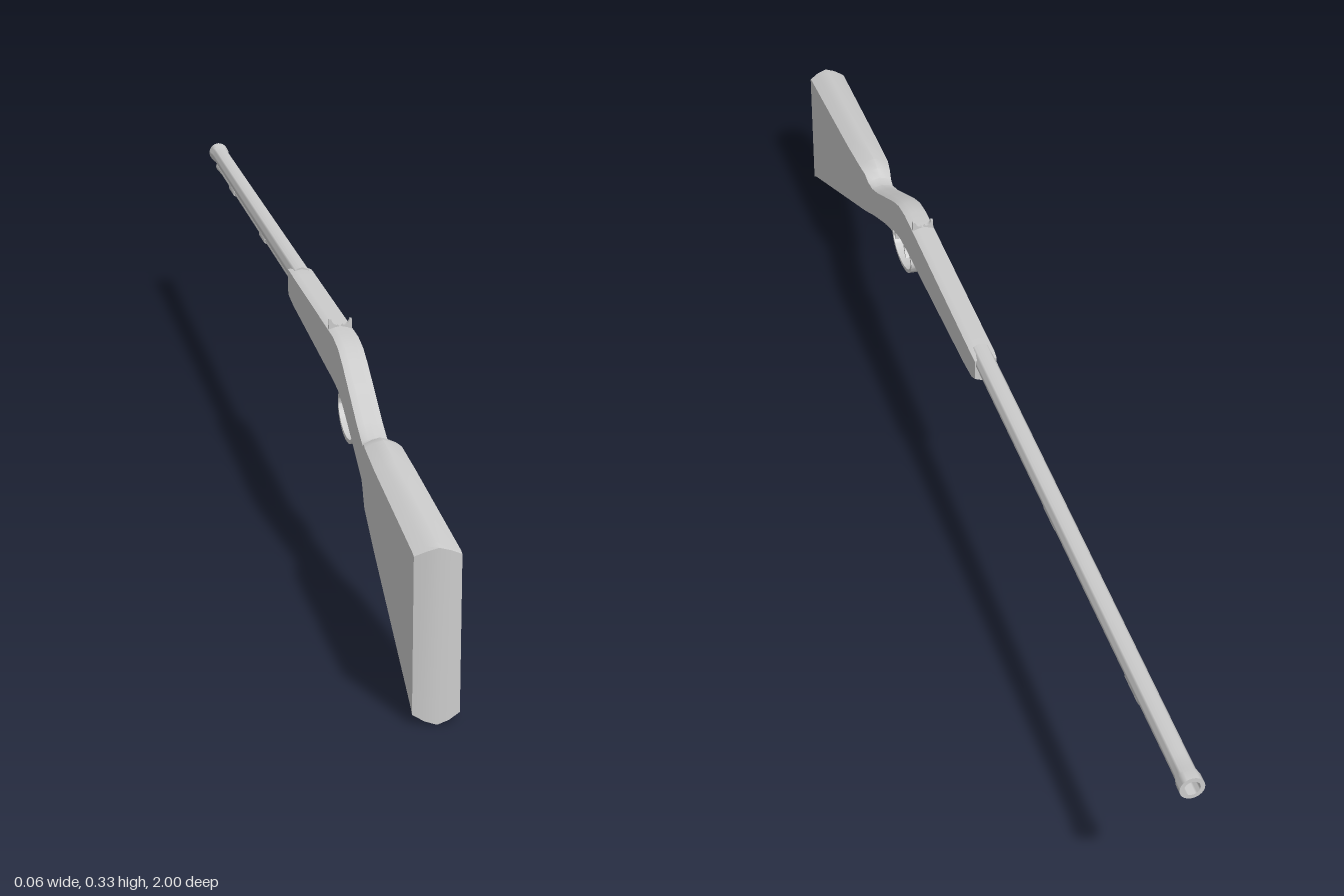
import * as THREE from 'three';
import { toCreasedNormals } from 'three/addons/utils/BufferGeometryUtils.js';

const grey = new THREE.MeshStandardMaterial({ color: 0xcccccc });
const greyDouble = new THREE.MeshStandardMaterial({ color: 0xcccccc, side: THREE.DoubleSide });

function addMesh(parent, name, geometry, material = grey) {
  const mesh = new THREE.Mesh(geometry, material);
  mesh.name = name;
  parent.add(mesh);
  return mesh;
}

// Stock stations: z, bottom y, top y, half width, crown of top and bottom
const STATIONS = [
  [1.0, 0.0, 0.23, 0.03, 0.012],
  [0.985, 0.006, 0.232, 0.03, 0.012],
  [0.72, 0.117, 0.249, 0.027, 0.011],
  [0.64, 0.15, 0.254, 0.025, 0.01],
  [0.615, 0.16, 0.25, 0.022, 0.008],
  [0.60, 0.167, 0.24, 0.02, 0.006],
  [0.58, 0.176, 0.238, 0.018, 0.005],
  [0.545, 0.191, 0.251, 0.018, 0.005],
  [0.48, 0.218, 0.281, 0.018, 0.005],
  [0.43, 0.237, 0.304, 0.018, 0.005],
  [0.395, 0.247, 0.317, 0.018, 0.005],
  [0.355, 0.251, 0.323, 0.018, 0.005],
  [0.30, 0.253, 0.323, 0.018, 0.005],
  [0.0, 0.267, 0.322, 0.018, 0.005],
  [-0.045, 0.272, 0.322, 0.018, 0.005],
  [-0.06, 0.278, 0.32, 0.017, 0.005],
];

// Slab-sided section with crowned top and bottom, lofted along z
function stockGeometry() {
  const columns = [-1, -0.5, 0, 0.5, 1];
  const n = columns.length * 2;
  const positions = [];
  const index = [];
  STATIONS.forEach(([z, bottom, top, w, crown], s) => {
    const point = (c, y) => positions.push(c * w, y, z - (s === 0 ? 0.007 * c * c : 0));
    const drop = (c) => crown * Math.pow(Math.abs(c), 1.4);
    columns.forEach((c) => point(c, bottom + drop(c)));
    [...columns].reverse().forEach((c) => point(c, top - drop(c)));
  });
  const quad = (a, b, c, d) => index.push(a, b, c, a, c, d);
  for (let s = 0; s < STATIONS.length - 1; s++) {
    for (let i = 0; i < n; i++) {
      const j = (i + 1) % n;
      quad(s * n + i, (s + 1) * n + i, (s + 1) * n + j, s * n + j);
    }
  }
  const last = (STATIONS.length - 1) * n;
  for (let i = 0; i < 4; i++) {
    quad(i, i + 1, n - 2 - i, n - 1 - i);
    quad(last + i, last + n - 1 - i, last + n - 2 - i, last + i + 1);
  }
  const g = new THREE.BufferGeometry();
  g.setAttribute('position', new THREE.Float32BufferAttribute(positions, 3));
  g.setIndex(index);
  return toCreasedNormals(g, 0.6);
}

// Turned part whose profile [radius, distance] runs toward -z
function turned(profile, y, segments) {
  const g = new THREE.LatheGeometry(profile.map(([r, d]) => new THREE.Vector2(r, d)), segments);
  g.rotateX(-Math.PI / 2);
  g.translate(0, y, 0);
  return toCreasedNormals(g, 0.7);
}

// Shape drawn in (z, y), extruded across x and centred
function acrossX(shape, width, curveSegments = 24) {
  const g = new THREE.ExtrudeGeometry(shape, { depth: width, bevelEnabled: false, curveSegments });
  g.translate(0, 0, -width / 2);
  g.rotateY(-Math.PI / 2);
  return toCreasedNormals(g, 0.6);
}

export function createModel() {
  const model = new THREE.Group();
  model.name = 'longGun';

  addMesh(model, 'stock', stockGeometry());

  // Barrel with a flared muzzle and open bore
  addMesh(model, 'barrel', turned([
    [0, 0.03], [0.0155, 0.03], [0.0145, 0.95], [0.0148, 0.975], [0.017, 0.985],
    [0.017, 1.0], [0.011, 1.0], [0.0105, 0.93], [0, 0.93],
  ], 0.309, 28));

  // Ramrod under the barrel, with two holding pipes
  addMesh(model, 'ramrod', turned([
    [0, 0.04], [0.005, 0.04], [0.005, 0.93], [0.007, 0.975], [0.007, 0.985], [0, 0.985],
  ], 0.285, 14));
  [-0.41, -0.78].forEach((z) => {
    const pipe = addMesh(model, 'ramrodPipe', turned([
      [0, -0.03], [0.0065, -0.03], [0.0075, -0.025], [0.0075, 0.025], [0.0065, 0.03], [0, 0.03],
    ], 0.285, 14));
    pipe.position.z = z;
    const lug = addMesh(model, 'pipeLug', new THREE.BoxGeometry(0.006, 0.012, 0.055));
    lug.position.set(0, 0.293, z);
  });

  // Notched rear sight with two horns
  const sight = new THREE.Shape();
  sight.moveTo(-0.017, 0.312);
  sight.lineTo(0.017, 0.312);
  sight.lineTo(0.0165, 0.333);
  sight.lineTo(0.0135, 0.333);
  sight.quadraticCurveTo(0.011, 0.324, 0.004, 0.325);
  sight.lineTo(0, 0.322);
  sight.lineTo(-0.004, 0.325);
  sight.quadraticCurveTo(-0.011, 0.324, -0.0135, 0.333);
  sight.lineTo(-0.0165, 0.333);
  const sightGeometry = new THREE.ExtrudeGeometry(sight, { depth: 0.006, bevelEnabled: false, curveSegments: 8 });
  addMesh(model, 'rearSight', sightGeometry).position.z = 0.307;

  // Oval strap guard with a tang running back along the wrist
  const guard = new THREE.Shape();
  guard.absellipse(0.412, 0.219, 0.063, 0.034, 0, Math.PI * 2, false, -0.08);
  const opening = new THREE.Path();
  opening.absellipse(0.412, 0.219, 0.057, 0.028, 0, Math.PI * 2, true, -0.08);
  guard.holes.push(opening);
  addMesh(model, 'triggerGuard', acrossX(guard, 0.02));

  const tang = new THREE.Shape();
  tang.moveTo(0.46, 0.205);
  tang.quadraticCurveTo(0.48, 0.212, 0.53, 0.191);
  tang.lineTo(0.53, 0.199);
  tang.lineTo(0.46, 0.228);
  addMesh(model, 'guardTang', acrossX(tang, 0.016), greyDouble);

  // Curved trigger blade
  const trigger = new THREE.Shape();
  trigger.moveTo(0.405, 0.25);
  trigger.quadraticCurveTo(0.43, 0.222, 0.408, 0.2);
  trigger.lineTo(0.412, 0.199);
  trigger.quadraticCurveTo(0.437, 0.222, 0.42, 0.25);
  addMesh(model, 'trigger', acrossX(trigger, 0.008, 10), greyDouble);

  return model;
}
